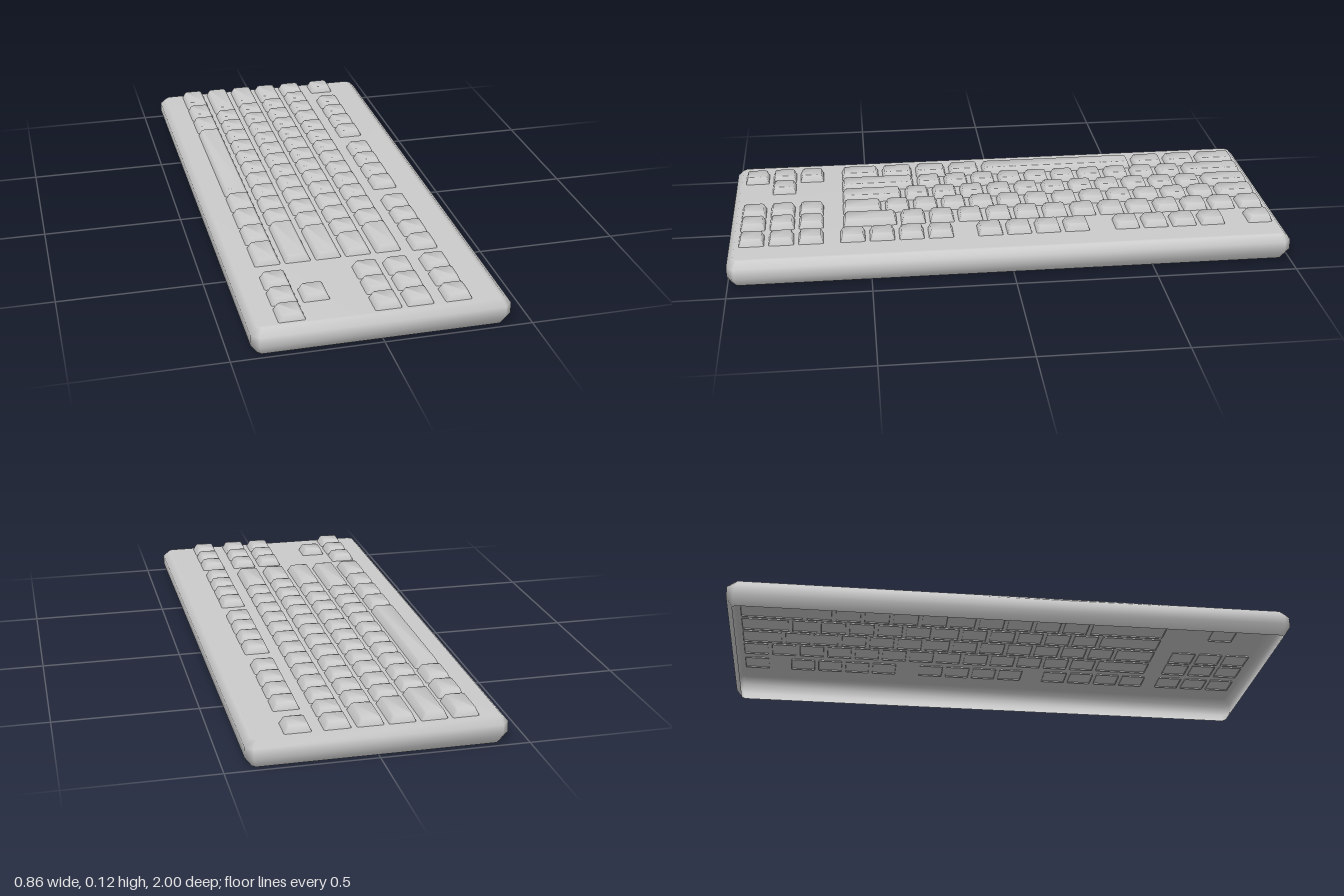
import * as THREE from 'three';

const material = new THREE.MeshStandardMaterial({ color: 0xcccccc, side: THREE.DoubleSide });

// Rectangle outline with cut corners, at height y
function outline(halfX, halfZ, cut, y) {
  const a = halfX - cut, b = halfZ - cut;
  return [
    [a, y, halfZ], [halfX, y, b], [halfX, y, -b], [a, y, -halfZ],
    [-a, y, -halfZ], [-halfX, y, -b], [-halfX, y, b], [-a, y, halfZ],
  ];
}

// Smooth shell through the outlines, closed on top and open underneath
function shell(loops) {
  const n = loops[0].length, index = [];
  for (let l = 0; l < loops.length - 1; l++) {
    for (let i = 0; i < n; i++) {
      const a = l * n + i, b = l * n + (i + 1) % n;
      index.push(a, b, b + n, a, b + n, a + n);
    }
  }
  const top = (loops.length - 1) * n;
  for (let i = 1; i < n - 1; i++) index.push(top, top + i, top + i + 1);
  const geometry = new THREE.BufferGeometry();
  geometry.setAttribute('position', new THREE.Float32BufferAttribute(loops.flat(2), 3));
  geometry.setIndex(index);
  geometry.computeVertexNormals();
  return geometry;
}

const UNIT = 0.1047; // spacing of single keys along a row
const START = -0.963; // where each row begins
const GAP = 0.015;

// Tapered keycap; start and width are counted in key units
function keycap(name, x, start, width) {
  const length = width * UNIT - GAP;
  const halfX = 0.045, halfZ = length / 2;
  const mesh = new THREE.Mesh(shell([
    outline(halfX, halfZ, 0.004, 0.09),
    outline(halfX - 0.001, halfZ - 0.001, 0.004, 0.097),
    outline(halfX - 0.011, halfZ - 0.009, 0.007, 0.12),
  ]), material);
  mesh.name = name;
  mesh.position.set(x, 0, START + start * UNIT + length / 2);
  return mesh;
}

export function createModel() {
  const model = new THREE.Group();
  model.name = 'keyboard';

  // Hollow case with bevelled edges
  const body = new THREE.Mesh(shell([
    outline(0.407, 0.977, 0.012, 0),
    outline(0.431, 1, 0.025, 0.035),
    outline(0.431, 1, 0.025, 0.072),
    outline(0.409, 0.978, 0.014, 0.095),
  ]), material);
  body.name = 'case';
  model.add(body);

  const ones = (count) => Array(count).fill(1);
  const spaced = (first, count) => ones(count).map((_, i) => first + i);

  // Main block: key widths in each row
  const rows = [
    { name: 'numberRow', x: 0.13, widths: [...ones(13), 2] },
    { name: 'upperLetterRow', x: 0.023, widths: [1.5, ...ones(12), 1.5] },
    { name: 'homeRow', x: -0.082, widths: [1.75, ...ones(11), 2.25] },
    { name: 'lowerLetterRow', x: -0.188, widths: [2.25, ...ones(10), 2.75] },
    { name: 'spaceBarRow', x: -0.293, widths: [1.5, 1.25, 1.25, 5.75, 1.25, 1.25, 1.25, 1.5] },
  ];
  for (const { name, x, widths } of rows) {
    const row = new THREE.Group();
    row.name = name;
    let start = 0;
    for (const width of widths) {
      row.add(keycap(width > 5 ? 'spaceBar' : 'key', x, start, width));
      start += width;
    }
    model.add(row);
  }

  // Single keys: function row, navigation block and arrows
  const side = 15.53;
  const clusters = [
    { name: 'functionRow', x: 0.258, starts: [0, ...spaced(1.68, 4), ...spaced(6.43, 4), ...spaced(11.12, 4), ...spaced(side, 3)] },
    { name: 'upperNavigationKeys', x: 0.13, starts: spaced(side, 3) },
    { name: 'lowerNavigationKeys', x: 0.023, starts: spaced(side, 3) },
    { name: 'upArrow', x: -0.188, starts: [side + 1] },
    { name: 'lowerArrows', x: -0.293, starts: spaced(side, 3) },
  ];
  for (const { name, x, starts } of clusters) {
    const cluster = new THREE.Group();
    cluster.name = name;
    for (const start of starts) cluster.add(keycap('key', x, start, 1));
    model.add(cluster);
  }
  return model;
}
